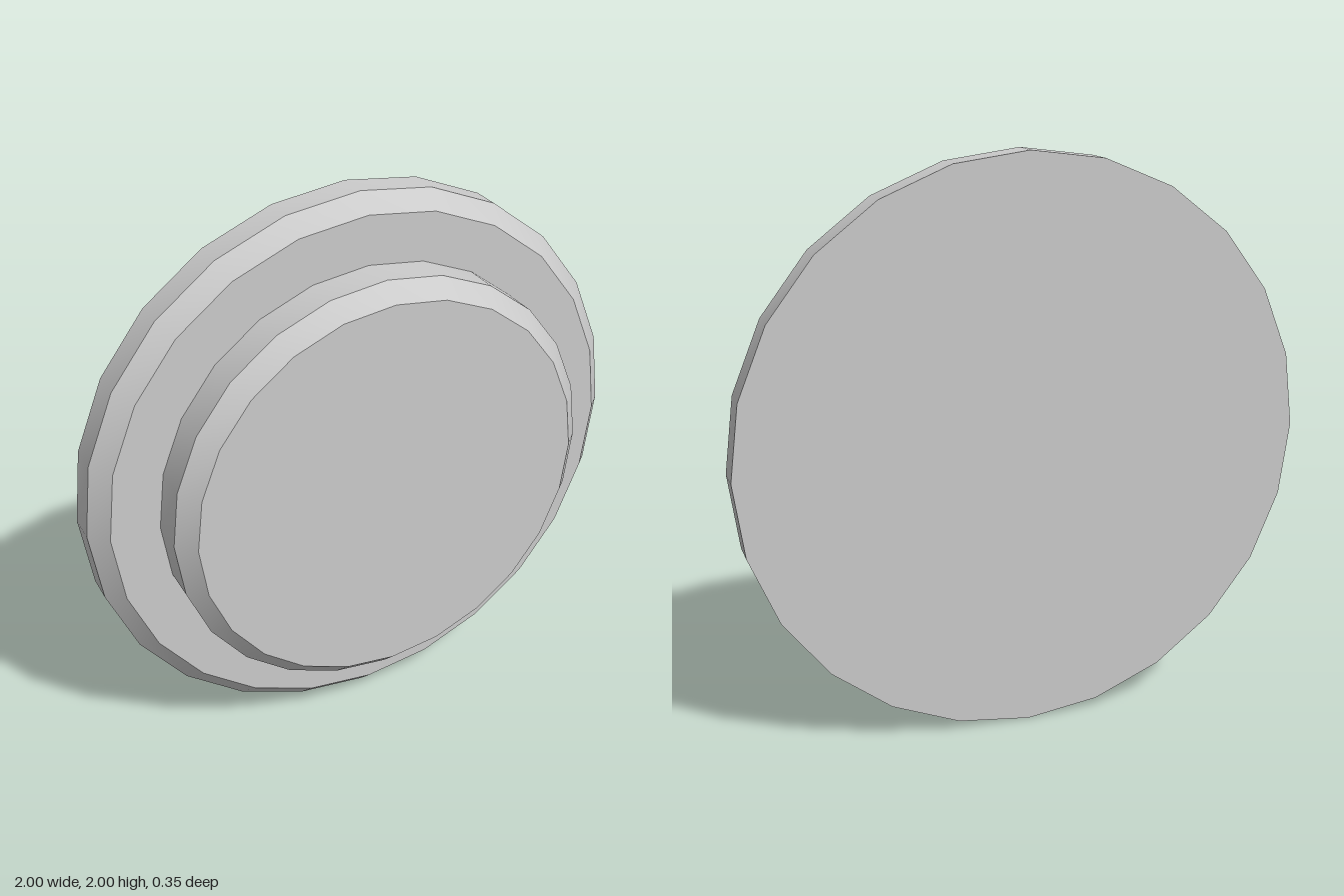
import * as THREE from 'three';
import { toCreasedNormals } from 'three/addons/utils/BufferGeometryUtils.js';

const SIDES = 24;
const BEVEL = 0.06;
const material = new THREE.MeshStandardMaterial({ color: 0xcccccc });

// A 24-sided disc facing +z with a bevelled front rim
function bevelledDisc(name, radius, back, front, closedBack) {
  const profile = [
    [radius, back],
    [radius, front - BEVEL],
    [radius - BEVEL, front],
    [0, front],
  ];
  if (closedBack) profile.unshift([0, back]);
  const lathe = new THREE.LatheGeometry(profile.map(([r, z]) => new THREE.Vector2(r, z)), SIDES);
  lathe.rotateX(Math.PI / 2);
  // Smooth around the rim, sharp along the bevel edges
  const mesh = new THREE.Mesh(toCreasedNormals(lathe, 0.5), material);
  mesh.name = name;
  mesh.position.y = 1;
  return mesh;
}

export function createModel() {
  const model = new THREE.Group();
  model.name = 'steppedDisc';
  // Wide flange at the back
  model.add(bevelledDisc('flange', 1, -0.175, -0.01, true));
  // Raised button, seated on the flange face
  model.add(bevelledDisc('raisedButton', 0.77, -0.01, 0.175, false));
  return model;
}
